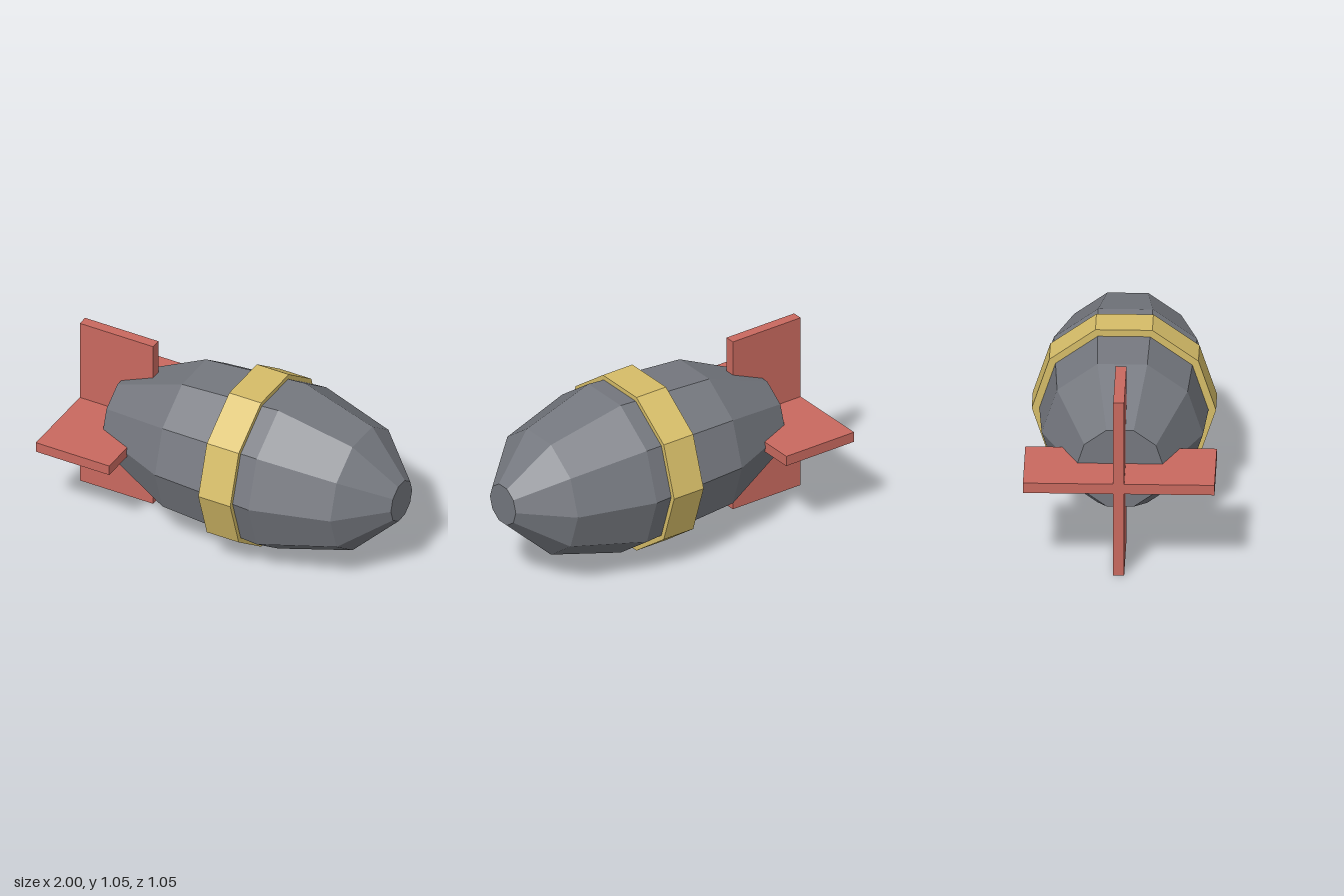
import * as THREE from 'three';

const SIDES = 10;
const AXIS_Y = 0.525;

export function createModel() {
  const group = new THREE.Group();
  const material = (name, color) => {
    const m = new THREE.MeshStandardMaterial({ color, flatShading: true });
    m.name = name;
    return m;
  };
  const grey = material('steel grey', 0x75787f);
  const yellow = material('band yellow', 0xd6bd68);
  const red = material('fin red', 0xc9695f);

  const add = (name, geometry, mat, x = 0) => {
    const mesh = new THREE.Mesh(geometry, mat);
    mesh.name = name;
    mesh.position.set(x, AXIS_Y, 0);
    group.add(mesh);
  };

  // Ten-sided shell, turned from a [radius, x] profile and laid along x
  const profile = [[0, -0.74], [0.243, -0.74], [0.442, -0.3], [0.485, 0.31],
    [0.362, 0.755], [0.12, 1], [0, 1]].map(([r, x]) => new THREE.Vector2(r, x));
  add('body', new THREE.LatheGeometry(profile, SIDES).rotateZ(-Math.PI / 2), grey);

  // Raised band round the middle
  add('band', new THREE.CylinderGeometry(0.505, 0.505, 0.2, SIDES).rotateZ(-Math.PI / 2), yellow, 0.107);

  // Crossed tail plates
  add('verticalFin', new THREE.BoxGeometry(0.46, 1.05, 0.06), red, -0.77);
  add('horizontalFin', new THREE.BoxGeometry(0.46, 0.06, 1.05), red, -0.77);

  return group;
}
